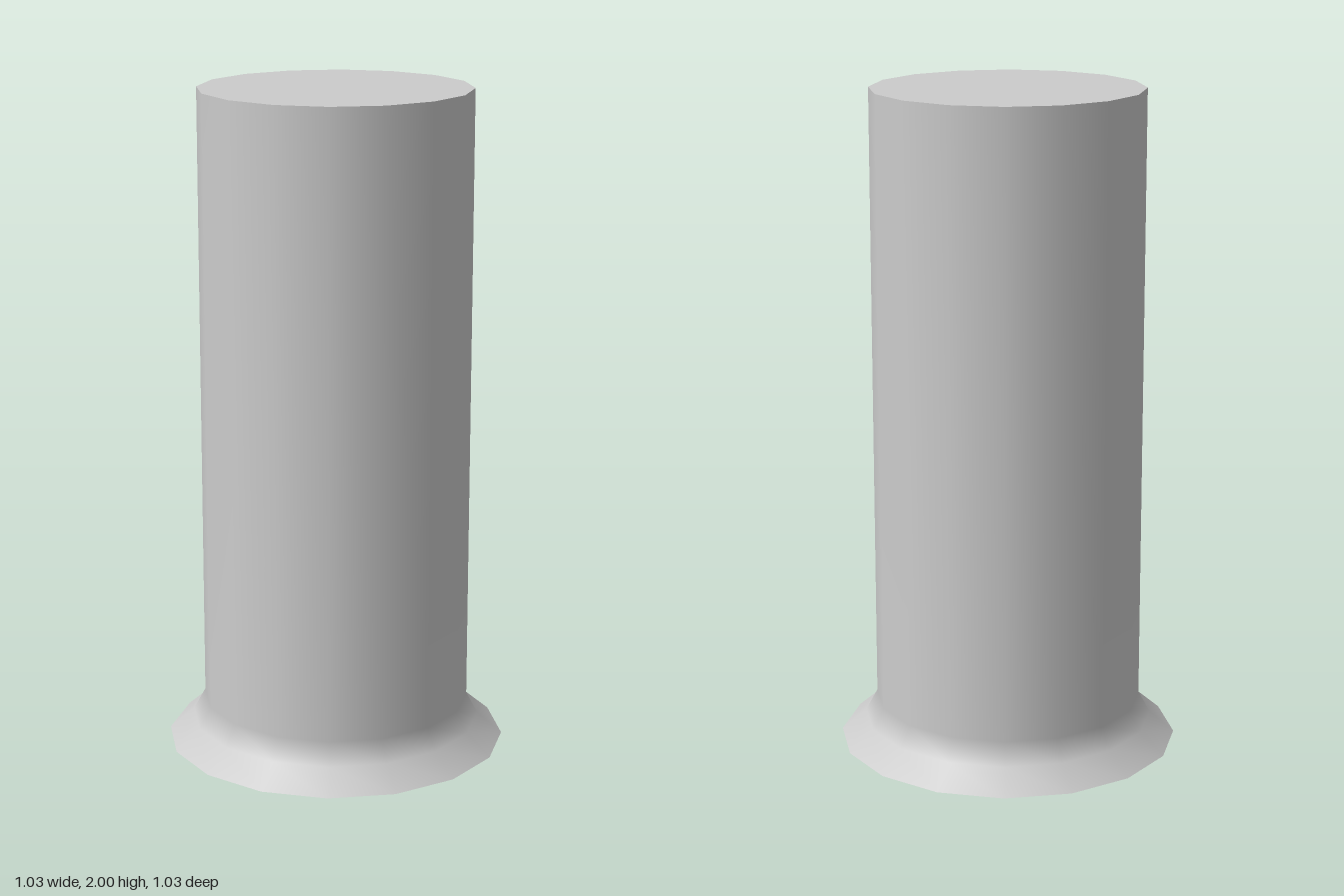
import * as THREE from 'three';

const SIDES = 16;

export function createModel() {
  const group = new THREE.Group();
  const material = new THREE.MeshStandardMaterial({ color: 0xcccccc });

  function add(name, geometry, y = 0, tilt = 0) {
    const mesh = new THREE.Mesh(geometry, material);
    mesh.name = name;
    mesh.position.y = y;
    mesh.rotation.x = tilt;
    group.add(mesh);
  }

  // Straight shaft with a concave flare at the foot, smooth all round
  const profile = [[0.515, 0], [0.44, 0.065], [0.405, 0.13], [0.405, 2]]
    .map(([r, y]) => new THREE.Vector2(r, y));
  add('flaredShaft', new THREE.LatheGeometry(profile, SIDES));

  // Flat end caps with sharp rims
  add('topCap', new THREE.CircleGeometry(0.405, SIDES), 2, -Math.PI / 2);
  add('bottomCap', new THREE.CircleGeometry(0.515, SIDES), 0, Math.PI / 2);

  return group;
}
